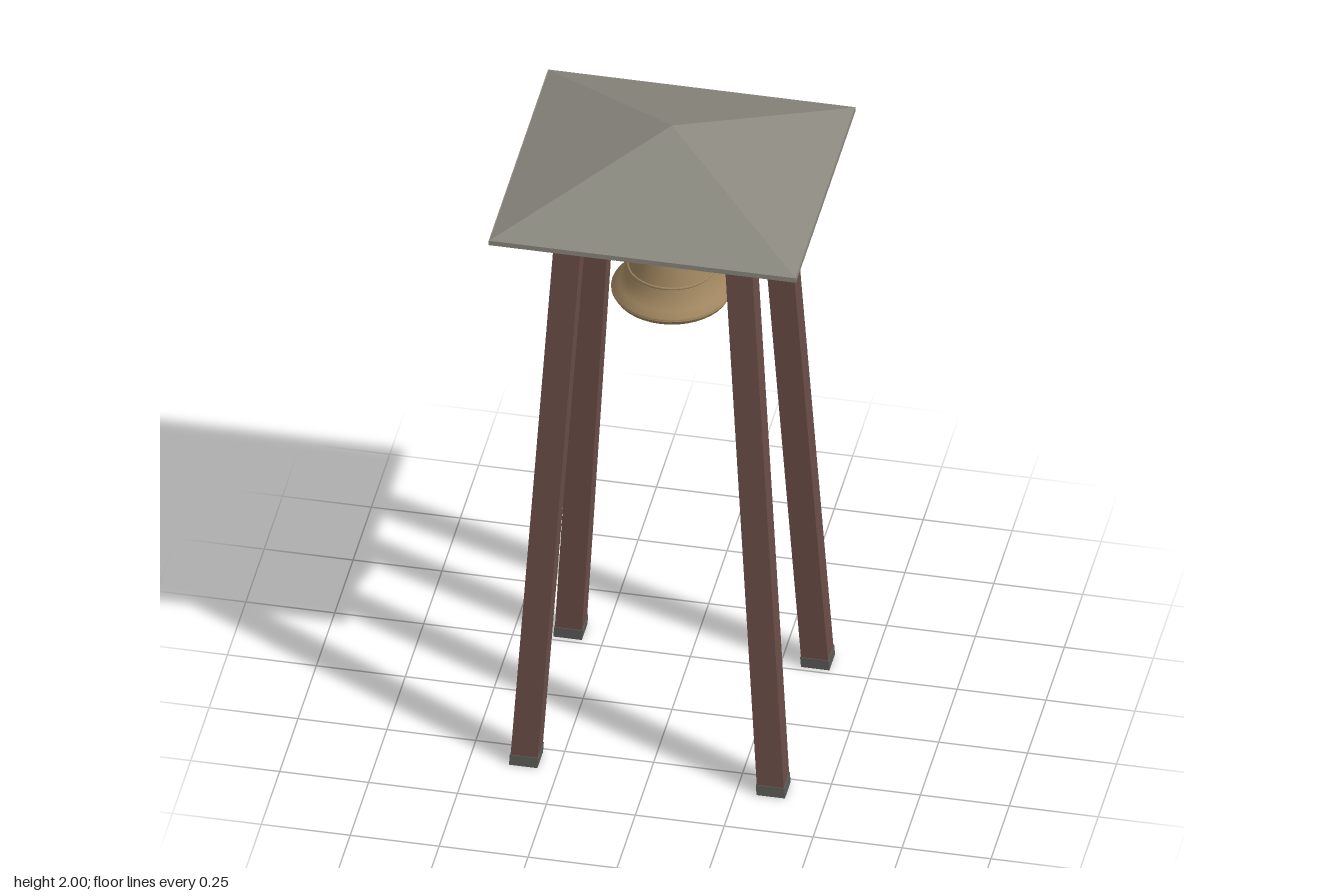
import * as THREE from 'three';
import { toCreasedNormals } from 'three/addons/utils/BufferGeometryUtils.js';

function material(name, color) {
  const m = new THREE.MeshStandardMaterial({ color });
  m.name = name;
  return m;
}

export function createModel() {
  const model = new THREE.Group();
  model.name = 'bellTower';
  const wood = material('redBrown wood', 0x6c4e48);
  const slate = material('grey roof', 0x8a887e);
  const dark = material('dark soffit', 0x454543);
  const stone = material('grey footing', 0x5c5c59);
  const bronze = material('bronze', 0xa08660);
  const iron = material('dark iron', 0x4a4a4a);

  function add(name, geometry, mat, x = 0, y = 0, z = 0) {
    const mesh = new THREE.Mesh(geometry, mat);
    mesh.name = name;
    mesh.position.set(x, y, z);
    model.add(mesh);
    return mesh;
  }
  function box(name, w, h, d, mat, x, y, z) {
    return add(name, new THREE.BoxGeometry(w, h, d), mat, x, y, z);
  }

  // Leaning post section between two heights, with level ends
  const legX = (y) => 0.348 - 0.0615 * y;
  const legZ = (y) => 0.303 - 0.045 * y;
  function post(name, y0, y1, size, mat, sx, sz) {
    const geo = new THREE.BoxGeometry(size, y1 - y0, size - 0.003);
    geo.translate(0, (y0 + y1) / 2, 0);
    const p = geo.attributes.position;
    for (let i = 0; i < p.count; i++) {
      const y = p.getY(i);
      p.setX(i, p.getX(i) + sx * legX(y));
      p.setZ(i, p.getZ(i) + sz * legZ(y));
    }
    geo.computeVertexNormals();
    add(name, geo, mat);
  }
  for (const sx of [-1, 1]) {
    for (const sz of [-1, 1]) {
      post('leg', 0.03, 1.812, 0.076, wood, sx, sz);
      post('footing', 0, 0.033, 0.08, stone, sx, sz);
    }
  }

  // Beams under the roof
  for (const s of [-1, 1]) {
    box('longBeam', 0.56, 0.075, 0.076, wood, 0, 1.777, s * 0.222);
    box('sideBeam', 0.06, 0.058, 0.4, wood, s * 0.24, 1.733, 0);
  }
  box('bellBeam', 0.5, 0.05, 0.06, wood, 0, 1.75, 0);

  // Hipped roof, eave slab and soffit
  const hip = new THREE.ConeGeometry(Math.SQRT2, 0.167, 4, 1, true).rotateY(Math.PI / 4);
  hip.scale(0.432, 1, 0.405);
  add('roof', toCreasedNormals(hip, 0.1), slate, 0, 1.9165, 0);
  box('eave', 0.864, 0.015, 0.81, slate, 0, 1.8265, 0);
  box('soffit', 0.79, 0.01, 0.74, dark, 0, 1.815, 0);

  // Hollow bell: inner wall up, outer wall down
  const outer = [
    [0, 1.685], [0.03, 1.683], [0.035, 1.672], [0.075, 1.665], [0.096, 1.648],
    [0.102, 1.62], [0.112, 1.57], [0.121, 1.53], [0.13, 1.5], [0.147, 1.472],
    [0.166, 1.458], [0.168, 1.45], [0.16, 1.436],
  ];
  const inner = [
    [0.145, 1.436], [0.13, 1.47], [0.113, 1.5], [0.102, 1.55], [0.085, 1.63], [0, 1.65],
  ];
  const profile = [...outer, ...inner].reverse().map(([r, y]) => new THREE.Vector2(r, y));
  add('bell', toCreasedNormals(new THREE.LatheGeometry(profile, 40), 0.7), bronze);
  for (const [r, y] of [[0.121, 1.53], [0.1, 1.638], [0.164, 1.454]]) {
    add('bellBand', new THREE.TorusGeometry(r, 0.004, 6, 40).rotateX(Math.PI / 2), bronze, 0, y, 0);
  }

  // Hangers and clapper
  for (const s of [-1, 1]) {
    add('hanger', new THREE.CylinderGeometry(0.004, 0.004, 0.06, 8), iron, s * 0.013, 1.705, 0);
  }
  add('clapperRod', new THREE.CylinderGeometry(0.004, 0.004, 0.32, 8), iron, 0, 1.505, 0);
  add('clapperBall', new THREE.SphereGeometry(0.028, 20, 14), iron, 0, 1.41, 0);

  return model;
}
